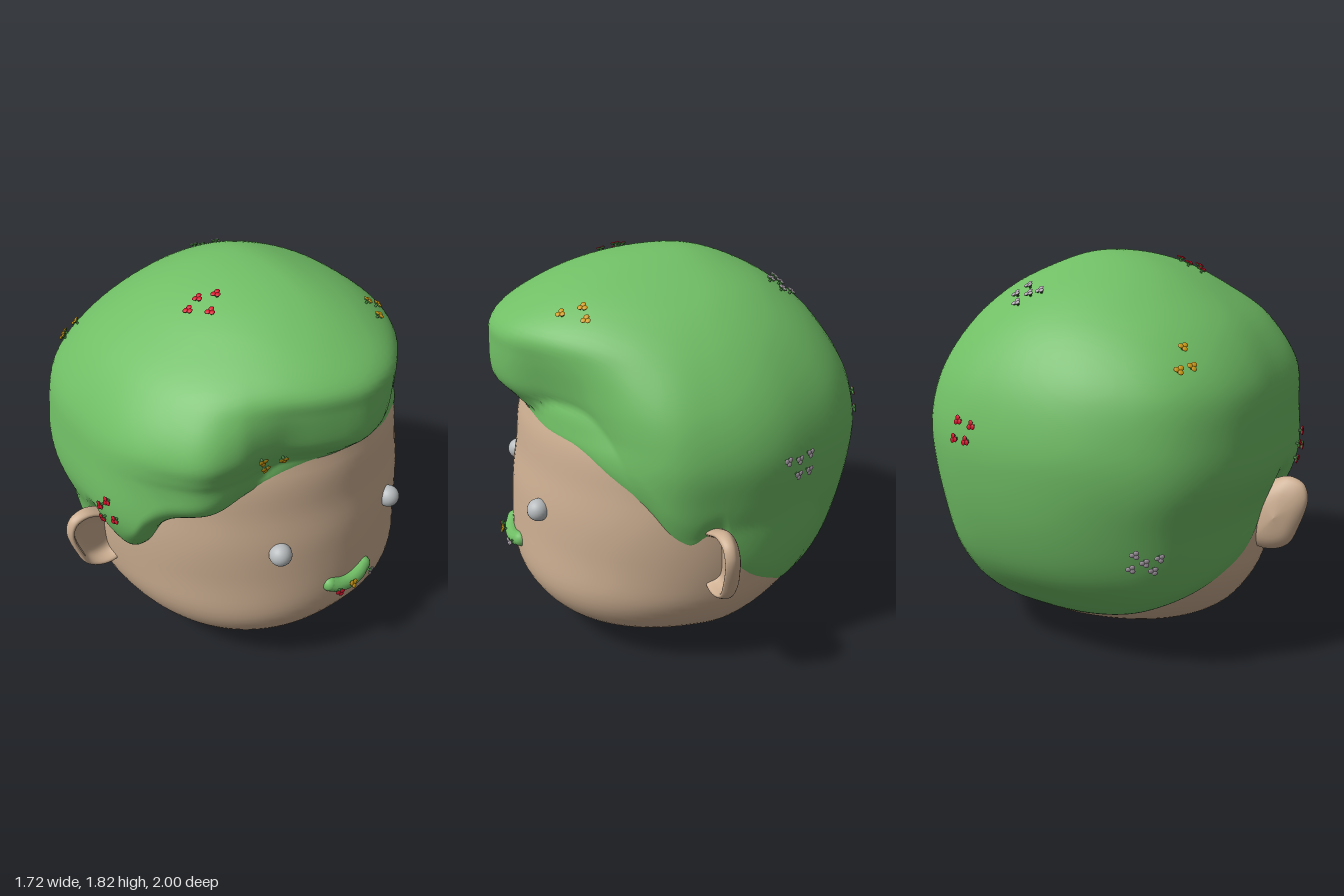
import * as THREE from 'three';

const { lerp, smoothstep } = THREE.MathUtils;
const mat = (name, color) => Object.assign(new THREE.MeshStandardMaterial({ color }), { name });

// Smooth lookup: curve through [value, key] pairs, read back by key
function lookup(pairs, toKey = k => k) {
  const pts = new THREE.SplineCurve(pairs.map(([v, k]) => new THREE.Vector2(v, toKey(k)))).getPoints(240);
  pts.sort((a, b) => a.y - b.y);
  return k => {
    const key = toKey(k), i = pts.findIndex(p => p.y >= key);
    if (i < 0) return pts[pts.length - 1].x;
    if (i === 0) return pts[0].x;
    const a = pts[i - 1], b = pts[i];
    return a.x + (b.x - a.x) * (key - a.y) / (b.y - a.y || 1);
  };
}
// Square-root keys keep the crown and the underside round
const fromBottom = pairs => lookup(pairs, y => Math.sqrt(Math.max(y, 0)));
const fromTop = pairs => lookup(pairs, y => Math.sqrt(Math.max(1.82 - y, 0)));

// Closed-around surface, rows run from pole to pole
function rings(rows, cols, fn) {
  const pos = [], idx = [];
  for (let i = 0; i <= rows; i++) for (let j = 0; j < cols; j++) pos.push(...fn(i / rows, j));
  for (let i = 0; i < rows; i++) for (let j = 0; j < cols; j++) {
    const k = (j + 1) % cols, a = i * cols + j, b = i * cols + k, c = a + cols, d = b + cols;
    idx.push(a, b, c, b, d, c);
  }
  const g = new THREE.BufferGeometry();
  g.setAttribute('position', new THREE.Float32BufferAttribute(pos, 3));
  g.setIndex(idx);
  g.computeVertexNormals();
  return g;
}

function superRadius(az, X, Z, n) {
  const c = Math.abs(Math.cos(az)) / Math.max(X, 1e-4), s = Math.abs(Math.sin(az)) / Math.max(Z, 1e-4);
  return Math.pow(Math.pow(c, n) + Math.pow(s, n), -1 / n);
}

// Extents of the head at each height: front, back, side; the jaw is squarer in front
const skinFront = fromBottom([[0, 0], [0.36, 0.022], [0.6, 0.115], [0.74, 0.25], [0.795, 0.4], [0.785, 0.7], [0.755, 0.9], [0.72, 1.13], [0.6, 1.35], [0, 1.6]]);
const skinBack = fromBottom([[0, 0], [0.16, 0.035], [0.33, 0.1], [0.46, 0.18], [0.58, 0.285], [0.7, 0.45], [0.78, 0.67], [0.81, 0.9], [0.78, 1.13], [0.6, 1.35], [0, 1.6]]);
const skinSide = fromBottom([[0, 0], [0.3, 0.03], [0.5, 0.1], [0.65, 0.2], [0.75, 0.35], [0.785, 0.5], [0.8, 0.7], [0.79, 0.9], [0.75, 1.12], [0.58, 1.35], [0, 1.6]]);
function skinRadius(az, y) {
  const front = Math.cos(az) > 0, up = smoothstep(y, 0.1, 0.6);
  return superRadius(az, front ? skinFront(y) : skinBack(y), skinSide(y), front ? lerp(2.3, 1.92, up) : lerp(1.85, 2.12, up));
}

// Extents of the hair, and its outline in plan with the forelock and side lobe
const hairFront = fromTop([[0, 1.82], [0.37, 1.775], [0.66, 1.66], [0.82, 1.55], [0.845, 1.45], [0.84, 1.3], [0.78, 1.2], [0.74, 1.1], [0.74, 0.6], [0.5, 0.1]]);
const hairBack = fromTop([[0, 1.82], [0.25, 1.77], [0.47, 1.66], [0.66, 1.5], [0.79, 1.3], [0.85, 1.08], [0.85, 0.9], [0.81, 0.67], [0.73, 0.45], [0.6, 0.28], [0.47, 0.17], [0.3, 0.08]]);
const hairLeft = fromTop([[0, 1.82], [0.28, 1.77], [0.5, 1.66], [0.71, 1.5], [0.84, 1.3], [0.875, 1.1], [0.88, 0.9], [0.82, 0.7], [0.77, 0.45], [0.64, 0.2], [0.4, 0.08]]);
const hairRight = fromTop([[0, 1.82], [0.22, 1.77], [0.45, 1.66], [0.64, 1.5], [0.78, 1.3], [0.84, 1.1], [0.83, 0.9], [0.8, 0.7], [0.76, 0.45], [0.64, 0.2], [0.4, 0.08]]);
const plan = [[0.84, 0.02], [0.79, 0.16], [0.715, 0.3], [0.69, 0.42], [0.685, 0.55], [0.635, 0.69], [0.5, 0.79], [0.3, 0.87], [0, 0.88], [-0.25, 0.86], [-0.49, 0.78], [-0.67, 0.64], [-0.8, 0.4], [-0.85, 0.2],
  [-0.86, 0], [-0.84, -0.2], [-0.79, -0.4], [-0.66, -0.58], [-0.45, -0.72], [-0.24, -0.81], [0, -0.84], [0.2, -0.82], [0.34, -0.74], [0.46, -0.6], [0.55, -0.46], [0.655, -0.31], [0.77, -0.2], [0.825, -0.08]];
const polar = plan.map(([x, z]) => [Math.hypot(x, z), (Math.atan2(z, x) + 2 * Math.PI) % (2 * Math.PI)]);
const planRadius = lookup([...polar.slice(-3).map(([r, a]) => [r, a - 2 * Math.PI]), ...polar, ...polar.slice(0, 3).map(([r, a]) => [r, a + 2 * Math.PI])]);
function hairRadius(az, y) {
  const c = Math.cos(az), s = Math.sin(az);
  const X = c > 0 ? hairFront(y) : hairBack(y), Z = s > 0 ? hairLeft(y) : hairRight(y);
  const lobed = planRadius((az + 2 * Math.PI) % (2 * Math.PI)) * (c * c * X / (c > 0 ? 0.84 : 0.86) + s * s * Z / (s > 0 ? 0.88 : 0.84));
  const r = lerp(lobed, superRadius(az, X, Z, 2.05), smoothstep(y, 1.25, 1.68));
  return y < 1.45 ? Math.max(r, skinRadius(az, y) + 0.012) : r;
}

// Hairline around the head
const hairline = [[0.73, 1.15, 0], [0.71, 1.12, 0.3], [0.62, 1.05, 0.45], [0.55, 0.98, 0.55], [0.42, 0.94, 0.66], [0.36, 0.87, 0.72], [0.29, 0.74, 0.76], [0.2, 0.67, 0.78],
  [0.12, 0.68, 0.79], [0.07, 0.78, 0.8], [0, 0.77, 0.8], [-0.06, 0.6, 0.79], [-0.15, 0.5, 0.78], [-0.3, 0.4, 0.7], [-0.42, 0.28, 0.5], [-0.46, 0.2, 0.3], [-0.47, 0.165, 0],
  [-0.46, 0.2, -0.3], [-0.42, 0.28, -0.5], [-0.3, 0.4, -0.7], [-0.15, 0.5, -0.78], [-0.06, 0.6, -0.79], [0, 0.75, -0.8], [0.06, 0.74, -0.8], [0.13, 0.7, -0.79],
  [0.2, 0.74, -0.77], [0.3, 0.87, -0.72], [0.43, 0.99, -0.61], [0.55, 1.08, -0.5], [0.68, 1.11, -0.3]];

// Ear outline as [z, y], and its thickness profile as [share of outline, x] from front to back
const earOutline = [[0.74, 0.5], [0.83, 0.475], [0.92, 0.51], [0.965, 0.6], [1.0, 0.74], [0.975, 0.805], [0.91, 0.83], [0.84, 0.81], [0.76, 0.76], [0.72, 0.63]];
const earProfile = new THREE.SplineCurve([[0, -0.005], [0.5, -0.005], [0.72, 0.012], [0.84, 0.055], [0.94, 0.055], [1, 0.02], [0.93, -0.015], [0.6, -0.05], [0, -0.07]].map(p => new THREE.Vector2(...p)));

export function createModel() {
  const skin = mat('skin', 0xccae91), green = mat('hair green', 0x70be65), grey = mat('eye grey', 0xb8bcbe);
  const red = mat('red petals', 0xd4102a), yellow = mat('yellow petals', 0xcf9a10), pale = mat('pale petals', 0xb4aab4);
  const stemGreen = mat('stem green', 0x4a8a43);
  const model = new THREE.Group();
  const add = (name, geo, material, parent = model) => {
    const m = new THREE.Mesh(geo, material);
    m.name = name;
    parent.add(m);
    return m;
  };

  // Head
  add('head', rings(64, 120, (t, j) => {
    const az = j / 120 * Math.PI * 2, y = 0.8 + 0.8 * Math.cos(t * Math.PI), r = skinRadius(az, y);
    return [r * Math.cos(az), y, r * Math.sin(az)];
  }), skin);

  // Hair cap, rounded in to the skin along the hairline
  const cols = 210;
  const line = new THREE.CatmullRomCurve3(hairline.map(p => new THREE.Vector3(...p)), true).getPoints(cols);
  const hair = add('hair', rings(60, cols, (t, j) => {
    const p = line[j], az = Math.atan2(p.z, p.x);
    const y = 1.82 - (1.82 - p.y) * (1 - Math.cos(Math.PI * t)) / 2;
    let r = hairRadius(az, y);
    const k = Math.min(1, Math.max(0, (y - p.y) / 0.13));
    if (k < 1) {
      const base = skinRadius(az, y) * 0.985;
      r = base + (r - base) * Math.sqrt(1 - (1 - k) ** 2);
    }
    return [r * Math.cos(az), y, r * Math.sin(az)];
  }), green);

  for (const side of [1, -1]) {
    // Ears: hollow in front with a raised rim, domed behind, thinner at the tip
    const edge = new THREE.CatmullRomCurve3(earOutline.map(([z, y]) => new THREE.Vector3(0, y, z)), true).getPoints(60).slice(0, 60);
    if (side < 0) edge.reverse();
    add(side > 0 ? 'leftEar' : 'rightEar', rings(32, 60, (t, j) => {
      const p = earProfile.getPoint(t);
      const z = 0.87 + (edge[j].z - 0.87) * p.x, y = 0.65 + (edge[j].y - 0.65) * p.x;
      const out = smoothstep(z, 0.78, 1);
      return [p.y * (1.1 - 0.4 * out) + 0.05 * (y - 0.65), y, z * side];
    }), skin);

    // Eyes
    add(side > 0 ? 'leftEye' : 'rightEye', new THREE.SphereGeometry(0.052, 24, 16), grey).position.set(0.715, 0.735, 0.333 * side);
  }

  // Moustache
  const lip = [[0.785, 0.472, 0.09], [0.8, 0.455, 0.05], [0.805, 0.447, 0], [0.8, 0.455, -0.07], [0.782, 0.474, -0.125]].map(p => new THREE.Vector3(...p));
  const moustache = add('moustache', new THREE.TubeGeometry(new THREE.CatmullRomCurve3(lip), 32, 0.037, 12), green);
  for (const p of [lip[0], lip[4]]) add('moustacheEnd', new THREE.SphereGeometry(0.037, 16, 12), green).position.copy(p);

  // Small three-petalled flowers with green cups, set on the surface along an axis
  const petal = new THREE.SphereGeometry(0.0125, 10, 4, 0, Math.PI * 2, 0, Math.PI / 2).scale(1, 0.4, 1);
  const cup = new THREE.CylinderGeometry(0.012, 0.006, 0.008, 8);
  const stem = new THREE.CylinderGeometry(0.007, 0.005, 0.025, 6);
  const up = new THREE.Vector3(0, 1, 0), ray = new THREE.Raycaster();
  model.updateMatrixWorld(true);
  function flower(target, origin, dir, petals) {
    ray.set(origin, dir);
    const hit = ray.intersectObject(target)[0];
    if (!hit) return;
    const f = new THREE.Group();
    f.name = 'flower';
    f.position.copy(hit.point);
    f.quaternion.setFromUnitVectors(up, hit.face.normal);
    add('stem', stem, stemGreen, f).position.y = 0.005;
    for (let i = 0; i < 3; i++) {
      const a = i * Math.PI * 2 / 3, x = 0.012 * Math.cos(a), z = 0.012 * Math.sin(a);
      add('cup', cup, stemGreen, f).position.set(x, 0.015, z);
      add('petal', petal, petals, f).position.set(x, 0.019, z);
    }
    model.add(f);
  }
  const axes = {
    top: (x, z) => [new THREE.Vector3(x, 3, z), new THREE.Vector3(0, -1, 0)],
    left: (x, y) => [new THREE.Vector3(x, y, 3), new THREE.Vector3(0, 0, -1)],
    right: (x, y) => [new THREE.Vector3(x, y, -3), new THREE.Vector3(0, 0, 1)],
    face: (z, y) => [new THREE.Vector3(3, y, z), new THREE.Vector3(-1, 0, 0)],
    back: (z, y) => [new THREE.Vector3(-3, y, z), new THREE.Vector3(1, 0, 0)],
  };
  const clusters = [
    ['top', red, [[0.19, 0.27], [0.145, 0.33], [0.245, 0.34], [0.16, 0.39]]],
    ['top', pale, [[-0.46, -0.22], [-0.52, -0.18], [-0.42, -0.18], [-0.48, -0.14], [-0.47, -0.09]]],
    ['top', yellow, [[0.47, -0.39], [0.47, -0.33], [0.56, -0.31]]],
    ['left', yellow, [[-0.55, 1.38], [-0.5, 1.39], [-0.47, 1.46]]],
    ['left', red, [[0.17, 0.95], [0.22, 1.0], [0.26, 0.92], [0.17, 0.88]]],
    ['left', pale, [[-0.69, 0.63], [-0.66, 0.59], [-0.63, 0.61], [-0.68, 0.56], [-0.63, 0.55]]],
    ['face', yellow, [[0.42, 1.27], [0.39, 1.21], [0.31, 1.24]]],
    ['back', red, [[-0.3, 1.13], [-0.22, 1.12], [-0.32, 1.05], [-0.25, 1.05]]],
    ['right', pale, [[-0.28, 1.07], [-0.34, 1.06], [-0.4, 1.07], [-0.34, 0.99], [-0.4, 0.99]]],
  ];
  for (const [axis, petals, spots] of clusters) for (const s of spots) flower(hair, ...axes[axis](...s), petals);
  for (const [z, y, petals] of [[0.07, 0.457, red], [0, 0.465, yellow], [-0.12, 0.468, pale]]) flower(moustache, ...axes.face(z, y), petals);

  return model;
}
